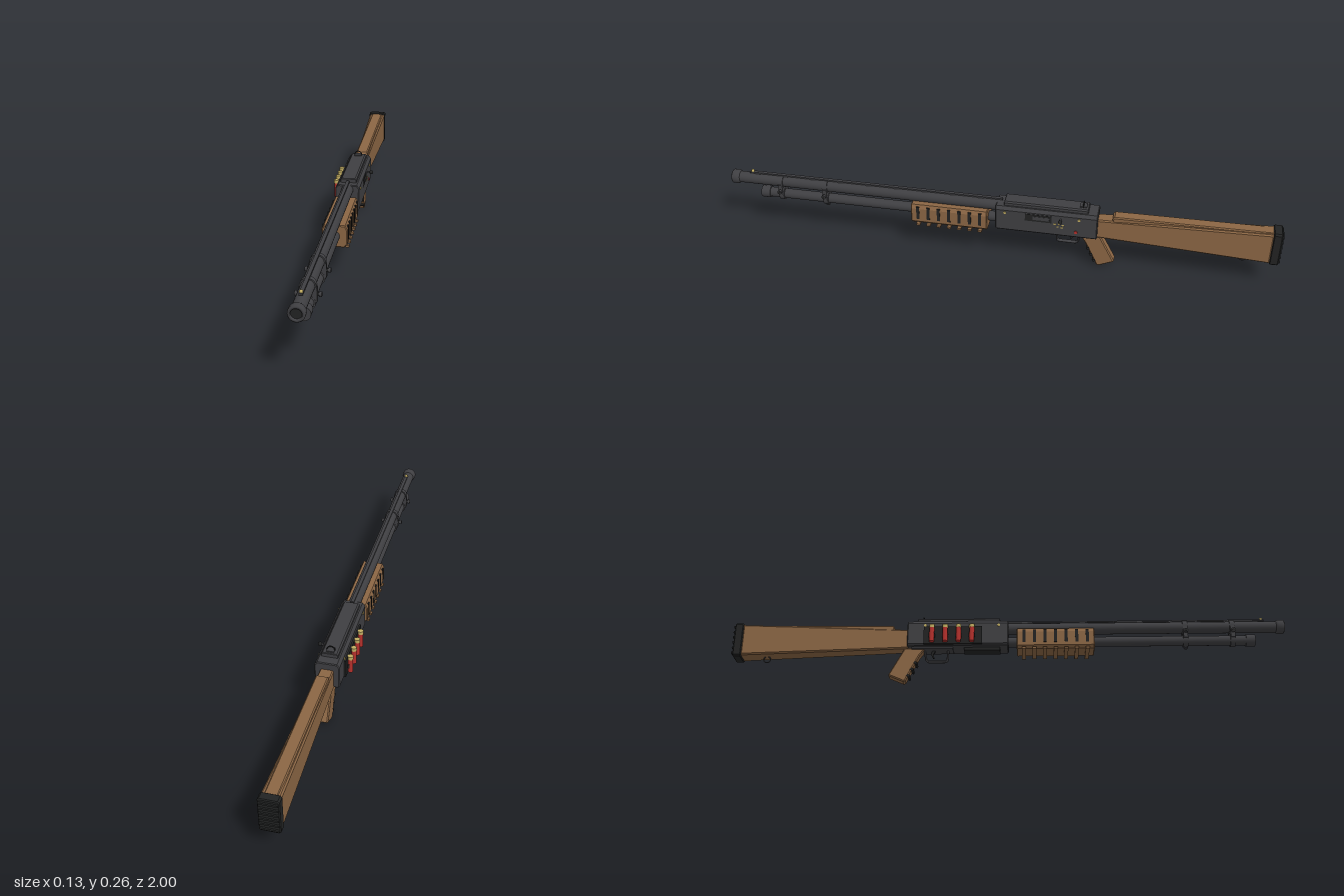
import * as THREE from 'three';

const mat = (name, color) => {
  const m = new THREE.MeshStandardMaterial({ color });
  m.name = name;
  return m;
};

export function createModel() {
  const steel = mat('gunmetal', 0x3f3f42);
  const black = mat('black rubber', 0x222323);
  const wood = mat('walnut', 0x8b6644);
  const brass = mat('brass', 0xc2ad62);
  const red = mat('shell red', 0xb5302c);

  const model = new THREE.Group();
  model.name = 'pumpShotgun';

  const add = (name, geo, material, x = 0, y = 0, z = 0) => {
    const mesh = new THREE.Mesh(geo, material);
    mesh.name = name;
    mesh.position.set(x, y, z);
    model.add(mesh);
    return mesh;
  };
  const box = (name, m, w, h, d, x, y, z) => add(name, new THREE.BoxGeometry(w, h, d), m, x, y, z);
  // Cylinder along z between two depths
  const rod = (name, m, r, z0, z1, x, y, seg = 24) =>
    add(name, new THREE.CylinderGeometry(r, r, z1 - z0, seg).rotateX(Math.PI / 2), m, x, y, (z0 + z1) / 2);
  // Cylinder along x
  const pin = (name, m, r, len, x, y, z) =>
    add(name, new THREE.CylinderGeometry(r, r, len, 12).rotateZ(Math.PI / 2), m, x, y, z);
  const shapeOf = (pts) => new THREE.Shape(pts.map((p) => new THREE.Vector2(p[0], p[1])));
  const bevelled = (pts, depth, bevel) => new THREE.ExtrudeGeometry(shapeOf(pts), {
    depth: depth - 2 * bevel, bevelEnabled: bevel > 0, bevelSize: bevel,
    bevelThickness: bevel, bevelOffset: -bevel, bevelSegments: 1,
  }).translate(0, 0, bevel - depth / 2);
  // Side profile given as [z, y], extruded across x
  const side = (pts, width, bevel) => bevelled(pts, width, bevel).rotateY(-Math.PI / 2);
  // Front profile given as half-outline [x, y], mirrored and extruded along z
  const front = (half, depth, bevel) =>
    bevelled([...half, ...half.slice().reverse().map(([x, y]) => [-x, y])], depth, bevel);

  // Barrel, muzzle and magazine tube
  rod('barrel', steel, 0.021, -0.02, 0.99, 0, 0.21);
  const muzzle = new THREE.LatheGeometry(
    [[0.017, -0.03], [0.022, -0.03], [0.026, -0.022], [0.026, -0.004], [0.023, 0], [0.017, 0], [0.017, -0.03]]
      .map(([r, h]) => new THREE.Vector2(r, h)), 28).rotateX(Math.PI / 2);
  add('muzzleRing', muzzle, steel, 0, 0.21, 1);
  rod('bore', black, 0.017, 0.985, 0.992, 0, 0.21);
  rod('magazineTube', steel, 0.018, -0.02, 0.87, 0, 0.157);
  rod('magazineCap', steel, 0.022, 0.857, 0.89, 0, 0.157);

  // Sight rib with posts and front bead
  box('sightRib', steel, 0.012, 0.005, 0.95, 0, 0.236, 0.455);
  for (let i = 0; i < 9; i++) box('ribPost', steel, 0.008, 0.008, 0.02, 0, 0.231, 0.06 + i * 0.105);
  add('frontBead', new THREE.SphereGeometry(0.006, 14, 10), brass, 0, 0.241, 0.92);

  // Barrel clamps with cross bolts
  for (const z of [0.64, 0.81]) {
    rod('clampUpper', steel, 0.025, z - 0.009, z + 0.009, 0, 0.21);
    rod('clampLower', steel, 0.023, z - 0.009, z + 0.009, 0, 0.157);
    box('clampBody', steel, 0.054, 0.046, 0.016, 0, 0.183, z);
    pin('clampBolt', black, 0.005, 0.082, 0, 0.183, z);
    for (const s of [-1, 1]) pin('clampBoltHead', steel, 0.008, 0.008, s * 0.036, 0.183, z);
  }
  add('frontSlingLoop', new THREE.TorusGeometry(0.007, 0.002, 8, 16).rotateY(Math.PI / 2), steel, 0, 0.132, 0.64);

  // Pump handle with side slots and gripping ribs
  add('pumpHandle', front([[0.033, 0.117], [0.043, 0.127], [0.043, 0.18], [0.036, 0.195]], 0.28, 0.003), wood, 0, 0, 0.17);
  for (let i = 0; i < 7; i++) {
    const z = 0.056 + i * 0.038;
    for (const s of [-1, 1]) box('pumpSlot', black, 0.006, 0.05, 0.011, s * 0.0415, 0.163, z);
    box('pumpRib', wood, 0.094, 0.007, 0.014, 0, 0.1145, z);
  }

  // Receiver with top rail
  add('receiver', front([[0.037, 0.13], [0.043, 0.136], [0.043, 0.216], [0.034, 0.228]], 0.365, 0.003), steel, 0, 0, -0.1825);
  add('topRail', front([[0.029, 0.224], [0.029, 0.238], [0.024, 0.243]], 0.3, 0.002), steel, 0, 0, -0.18);
  box('loadingLifter', black, 0.04, 0.012, 0.13, 0, 0.125, -0.095);
  box('triggerPlate', steel, 0.05, 0.008, 0.15, 0, 0.128, -0.275);

  // Rear ring sight
  box('rearSightBase', steel, 0.026, 0.006, 0.025, 0, 0.244, -0.31);
  add('rearSightRing', new THREE.TorusGeometry(0.013, 0.002, 8, 28), black, 0, 0.246, -0.31);

  // Right side: ejection port, bolt handle, plate, pins and safety
  box('ejectionPort', black, 0.004, 0.028, 0.095, 0.0425, 0.197, -0.155);
  box('boltFace', steel, 0.004, 0.014, 0.06, 0.0435, 0.197, -0.165);
  pin('boltHandle', steel, 0.004, 0.022, 0.051, 0.201, -0.235);
  add('boltKnob', new THREE.SphereGeometry(0.0075, 16, 12), black, 0.059, 0.201, -0.235);
  for (const [z, y] of [[-0.215, 0.18], [-0.23, 0.182], [-0.243, 0.178], [-0.225, 0.17], [-0.24, 0.168]])
    box('brassInlay', brass, 0.003, 0.005, 0.008, 0.0425, y, z);
  for (const s of [-1, 1])
    for (const [z, y] of [[-0.035, 0.207], [-0.3, 0.207]]) pin('receiverPin', brass, 0.005, 0.006, s * 0.043, y, z);
  pin('safetyButton', red, 0.006, 0.006, 0.043, 0.155, -0.29);

  // Left side: shell carrier with four spare shells
  box('shellCarrier', black, 0.007, 0.068, 0.21, -0.046, 0.166, -0.2);
  for (let i = 0; i < 4; i++) {
    const z = -0.275 + i * 0.048;
    add('shellCase', new THREE.CylinderGeometry(0.009, 0.009, 0.053, 18), red, -0.058, 0.1635, z);
    add('shellBase', new THREE.CylinderGeometry(0.0095, 0.0095, 0.012, 18), brass, -0.058, 0.196, z);
    box('shellLoop', black, 0.01, 0.014, 0.022, -0.052, 0.163, z);
  }

  // Trigger and guard
  const guardPath = new THREE.CurvePath();
  const g = [[0.13, -0.218], [0.087, -0.22], [0.082, -0.226], [0.082, -0.288], [0.087, -0.296], [0.13, -0.305]]
    .map(([y, z]) => new THREE.Vector3(0, y, z));
  for (let i = 0; i < g.length - 1; i++) guardPath.add(new THREE.LineCurve3(g[i], g[i + 1]));
  const guard = new THREE.TubeGeometry(guardPath, 50, 0.004, 8, false).scale(2, 1, 1);
  add('triggerGuard', guard, steel);
  add('trigger', side([[-0.262, 0.13], [-0.274, 0.13], [-0.28, 0.11], [-0.272, 0.095], [-0.268, 0.097], [-0.271, 0.11]], 0.008, 0), black);

  // Pistol grip with finger bands along its front edge
  add('pistolGrip', side([[-0.3, 0.13], [-0.375, 0.13], [-0.385, 0.112], [-0.43, 0.027], [-0.426, 0.022],
    [-0.376, 0], [-0.368, 0.003], [-0.322, 0.098]], 0.036, 0.004), wood);
  for (let i = 0; i < 3; i++) {
    const y = 0.072 - i * 0.025;
    const band = box('gripBand', black, 0.037, 0.008, 0.012, 0, y, -0.334 - i * 0.0121);
    band.rotation.x = 0.45;
  }

  // Stock: side profile widened toward the butt
  const stock = side([[-0.36, 0.202], [-0.36, 0.127], [-0.967, 0.104], [-0.967, 0.224]], 0.06, 0.005);
  const p = stock.attributes.position;
  for (let i = 0; i < p.count; i++) {
    const t = (-0.36 - p.getZ(i)) / 0.607;
    p.setX(i, p.getX(i) * (0.76 + 0.3 * t));
  }
  stock.computeVertexNormals();
  add('stock', stock, wood);
  add('cheekComb', side([[-0.415, 0.195], [-0.415, 0.214], [-0.422, 0.22], [-0.967, 0.226], [-0.967, 0.205]], 0.044, 0.004), wood);

  // Ridged butt pad and rear sling loop
  add('buttPad', front([[0.028, 0.099], [0.034, 0.105], [0.034, 0.224], [0.028, 0.23]], 0.03, 0.003), black, 0, 0, -0.98);
  for (let i = 0; i < 6; i++) box('buttRidge', black, 0.062, 0.007, 0.008, 0, 0.113 + i * 0.0206, -0.996);
  add('rearSlingLoop', new THREE.TorusGeometry(0.012, 0.002, 8, 20).rotateY(Math.PI / 2), steel, 0, 0.097, -0.875);

  return model;
}
